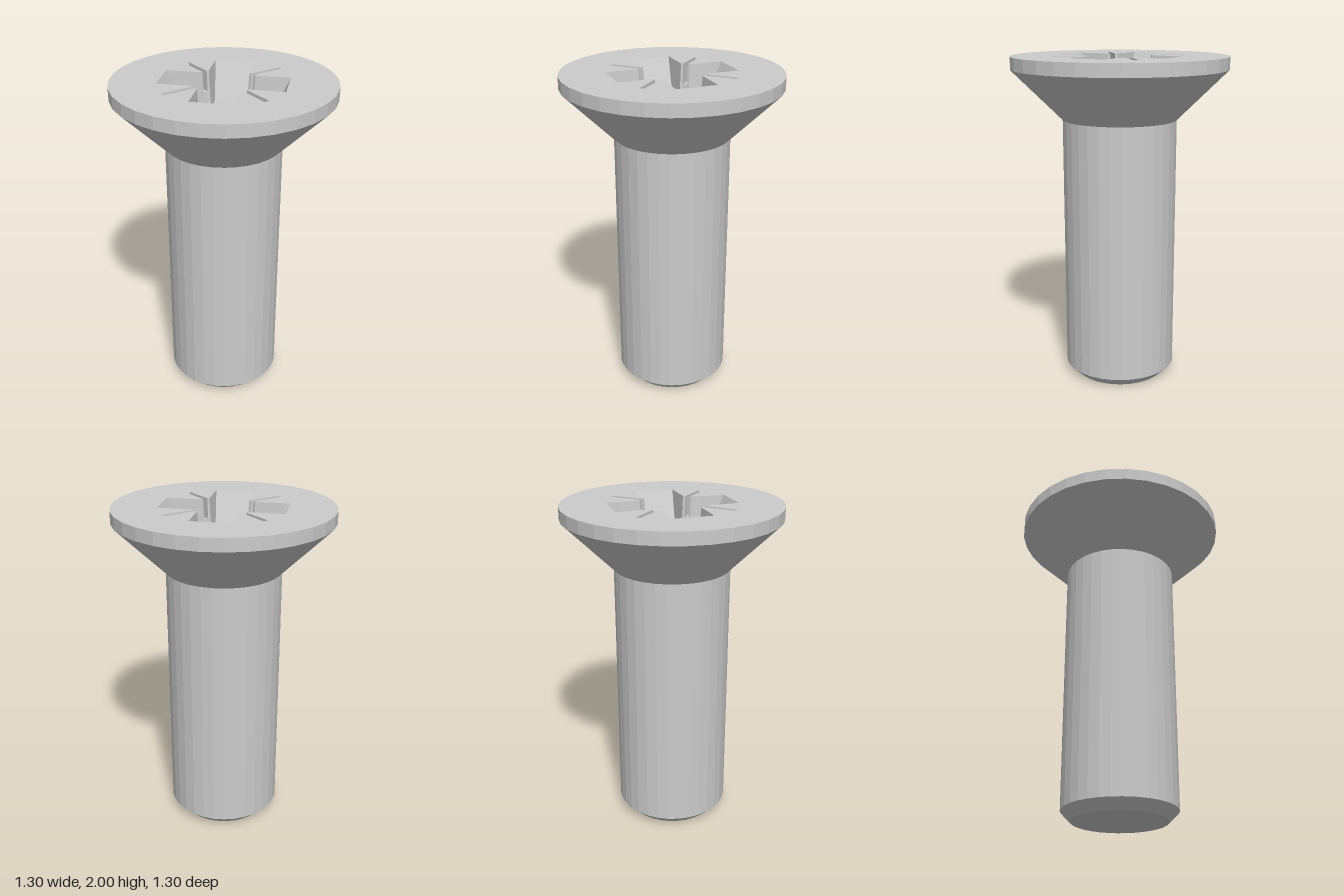
import * as THREE from 'three';

const SIDES = 32;
const TOP = 2, FLOOR = 1.78, SLOT_FLOOR = 1.88;

// Points are (a, b) seen from above, so z = -b.
const at = (a, b, y) => new THREE.Vector3(a, y, -b);
const diagonal = (u, v, y) => at((u - v) * Math.SQRT1_2, (u + v) * Math.SQRT1_2, y);
const boreEdge = (r, half, y) => at(Math.sqrt(r * r - half * half), half, y);
const swap = (p) => new THREE.Vector3(-p.z, p.y, -p.x); // mirror across the diagonal

function quadGeometry(quads) {
  const points = quads.flatMap(([p, q, r, s]) => [p, q, r, p, r, s]);
  const geometry = new THREE.BufferGeometry().setFromPoints(points);
  geometry.computeVertexNormals();
  return geometry;
}

export function createModel() {
  const group = new THREE.Group();
  const material = new THREE.MeshStandardMaterial({ color: 0xcccccc, flatShading: true });
  const add = (name, geometry, parent = group) => {
    const mesh = new THREE.Mesh(geometry, material);
    mesh.name = name;
    parent.add(mesh);
    return mesh;
  };
  const lathe = (points) =>
    new THREE.LatheGeometry(points.map(([x, y]) => new THREE.Vector2(x, y)), SIDES);

  // Shank with chamfered tip, and countersunk head with a short rim
  add('shank', lathe([[0, 0], [0.285, 0], [0.345, 0.06], [0.345, 1.625]]));
  add('head', lathe([[0.345, 1.625], [0.648, 1.925], [0.648, TOP]]));

  // Corners of one quarter of the recess: a wide wing and a thin diagonal slot
  const wingTop = [at(0.364, -0.12, TOP), at(0.364, 0.12, TOP)];
  const wingLow = [at(0.26, -0.105, FLOOR), at(0.26, 0.105, FLOOR)];
  const joinTop = boreEdge(0.2, 0.12, TOP);
  const joinLow = boreEdge(0.18, 0.105, FLOOR);
  const mouthTop = diagonal(0.2, -0.015, TOP);
  const mouthLow = diagonal(0.18, -0.012, FLOOR);
  const mouthMid = mouthTop.clone().lerp(mouthLow, (TOP - SLOT_FLOOR) / (TOP - FLOOR));
  const tipTop = diagonal(0.4, -0.015, TOP);
  const tipLow = diagonal(0.342, -0.0135, SLOT_FLOOR);
  const mirrorZ = (p) => new THREE.Vector3(p.x, p.y, -p.z);

  const wing = [
    [wingTop[0], wingTop[1], wingLow[1], wingLow[0]],
    [wingTop[1], joinTop, joinLow, wingLow[1]],
    [mirrorZ(joinTop), wingTop[0], wingLow[0], mirrorZ(joinLow)],
  ];
  // Wing floor, running up to the round centre
  const spread = Math.atan2(-joinLow.z, joinLow.x);
  const steps = 6;
  for (let i = 0; i < steps; i++) {
    const [t0, t1] = [i, i + 1].map((k) => (2 * k) / steps - 1);
    const inner = (t) => at(0.18 * Math.cos(spread * t), 0.18 * Math.sin(spread * t), FLOOR);
    const outer = (t) => at(0.26, 0.105 * t, FLOOR);
    wing.push([inner(t0), outer(t0), outer(t1), inner(t1)]);
  }

  // Slot walls and floor, with the bore wall on either side and below
  const slot = [
    [joinTop, mouthTop, mouthLow, joinLow],
    [swap(mouthTop), swap(joinTop), swap(joinLow), swap(mouthLow)],
    [mouthTop, tipTop, tipLow, mouthMid],
    [tipTop, swap(tipTop), swap(tipLow), tipLow],
    [swap(tipTop), swap(mouthTop), swap(mouthMid), swap(tipLow)],
    [mouthMid, tipLow, swap(tipLow), swap(mouthMid)],
    [mouthMid, swap(mouthMid), swap(mouthLow), mouthLow],
  ];

  const wingGeometry = quadGeometry(wing);
  const slotGeometry = quadGeometry(slot);
  const quarter = [...wingTop, joinTop, mouthTop, tipTop, swap(tipTop), swap(mouthTop), swap(joinTop)];
  const outline = [];
  const recess = new THREE.Group();
  recess.name = 'driveRecess';
  group.add(recess);
  for (let k = 0; k < 4; k++) {
    const angle = (k * Math.PI) / 2;
    add('recessWing', wingGeometry, recess).rotation.y = angle;
    add('recessSlot', slotGeometry, recess).rotation.y = angle;
    for (const p of quarter) {
      outline.push(new THREE.Vector2(p.x, -p.z).rotateAround(new THREE.Vector2(), angle));
    }
  }

  // Conical bottom of the recess
  add('recessCone', lathe([[0.18, FLOOR], [0, FLOOR - 0.1]]), recess);

  // Flat top face, cut by the recess outline
  const rim = Array.from({ length: SIDES }, (_, i) => {
    const angle = (i / SIDES) * Math.PI * 2;
    return new THREE.Vector2(0.648 * Math.cos(angle), 0.648 * Math.sin(angle));
  });
  const face = new THREE.Shape(rim);
  face.holes.push(new THREE.Path(outline));
  add('headFace', new THREE.ShapeGeometry(face).rotateX(-Math.PI / 2).translate(0, TOP, 0));

  return group;
}
